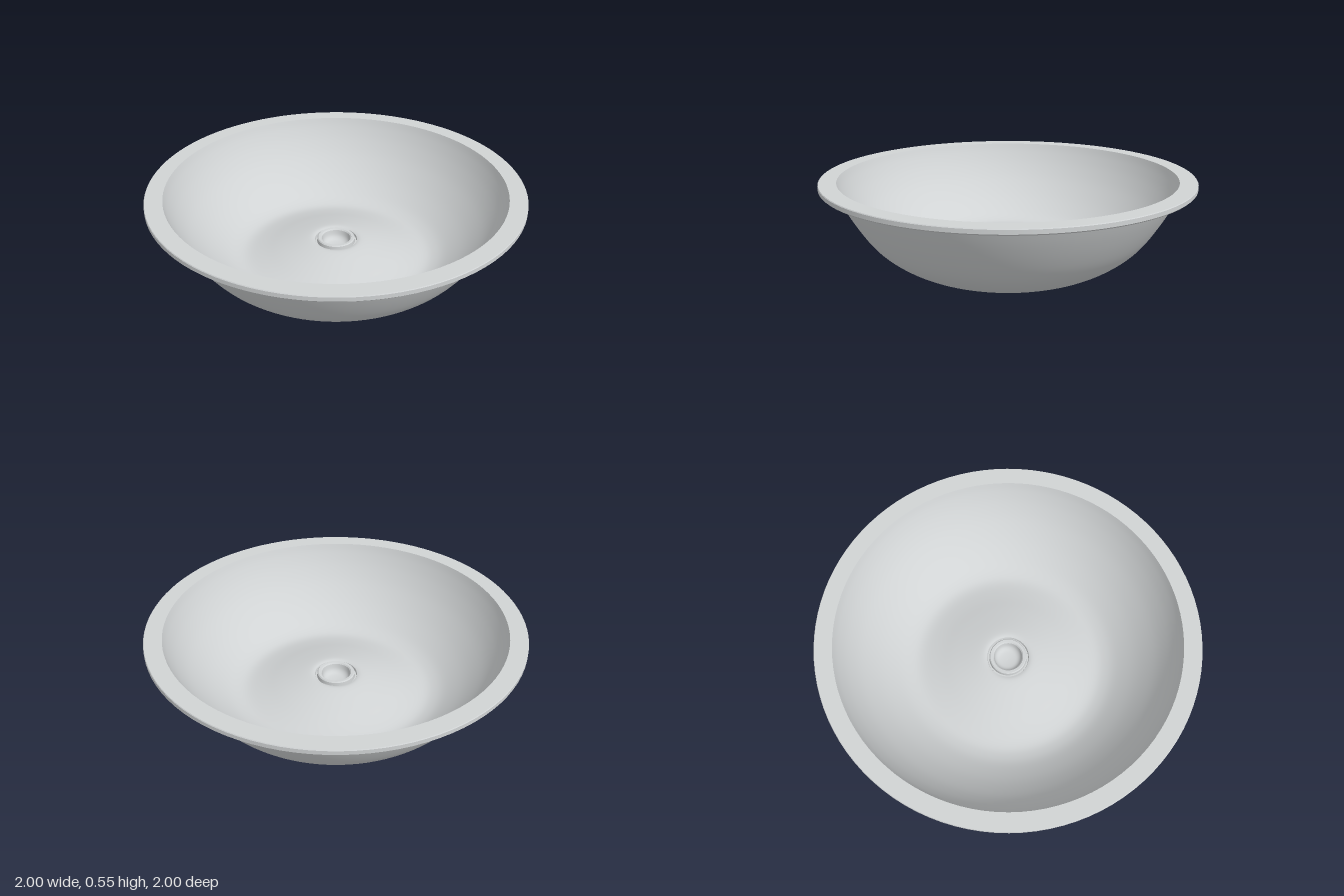
import * as THREE from 'three';
import { mergeGeometries } from 'three/addons/utils/BufferGeometryUtils.js';

const SEGMENTS = 96;
const v = ([r, y]) => new THREE.Vector2(r, y);

// Profiles run counter-clockwise in (radius, height) so faces point outwards.
function smoothLathe(points, steps = 36) {
  return new THREE.LatheGeometry(new THREE.SplineCurve(points.map(v)).getPoints(steps), SEGMENTS);
}

// One band per segment keeps every edge of the profile sharp.
function sharpLathe(points) {
  const bands = points.slice(1).map((p, i) => new THREE.LatheGeometry([v(points[i]), v(p)], SEGMENTS));
  return mergeGeometries(bands);
}

// Pushes a round shape towards a rounded square.
function squareOff(geometry) {
  const p = geometry.attributes.position;
  for (let i = 0; i < p.count; i++) {
    const k = 1 - 0.035 * Math.cos(4 * Math.atan2(p.getZ(i), p.getX(i)));
    p.setX(i, p.getX(i) * k);
    p.setZ(i, p.getZ(i) * k);
  }
  return geometry;
}

export function createModel() {
  const model = new THREE.Group();
  model.name = 'washBasin';
  const ceramic = new THREE.MeshStandardMaterial({ color: 0xd0d3d4 });
  ceramic.name = 'greyCeramic';

  const add = (name, geometry) => {
    const mesh = new THREE.Mesh(geometry, ceramic);
    mesh.name = name;
    model.add(mesh);
  };

  // Outside of the bowl
  add('outerBowl', smoothLathe([
    [0.17, 0.014], [0.3, 0.024], [0.43, 0.042], [0.53, 0.075], [0.62, 0.123], [0.7, 0.183],
    [0.76, 0.248], [0.82, 0.335], [0.875, 0.43], [0.917, 0.515],
  ]));

  // Flat rim with softened outer edge
  add('rim', sharpLathe([
    [0.905, 0.513], [0.992, 0.513], [1, 0.52], [1, 0.541], [0.997, 0.545], [0.905, 0.545],
  ]));

  // Inside wall and floor, rising to a low mound around the drain
  add('innerBowl', smoothLathe([
    [0.905, 0.545], [0.885, 0.495], [0.845, 0.42], [0.785, 0.335], [0.7, 0.246], [0.61, 0.177],
    [0.545, 0.146], [0.485, 0.138], [0.4, 0.155], [0.3, 0.184], [0.2, 0.21], [0.14, 0.221], [0.115, 0.217],
  ], 48));

  // Narrow groove and raised ring of the drain
  add('drainRing', sharpLathe([
    [0.115, 0.217], [0.112, 0.204], [0.104, 0.204], [0.102, 0.226], [0.097, 0.231], [0.084, 0.23], [0.078, 0.224],
  ]));

  // Dished drain cup
  add('drainCup', smoothLathe([
    [0.078, 0.224], [0.071, 0.195], [0.055, 0.178], [0.03, 0.172], [0, 0.17],
  ], 16));

  // Slightly rounded-square pad underneath, set in a narrow groove
  add('footPad', squareOff(sharpLathe([
    [0, 0], [0.1, 0.001], [0.155, 0.008], [0.158, 0.022], [0.17, 0.022], [0.173, 0.014],
  ])));

  return model;
}
